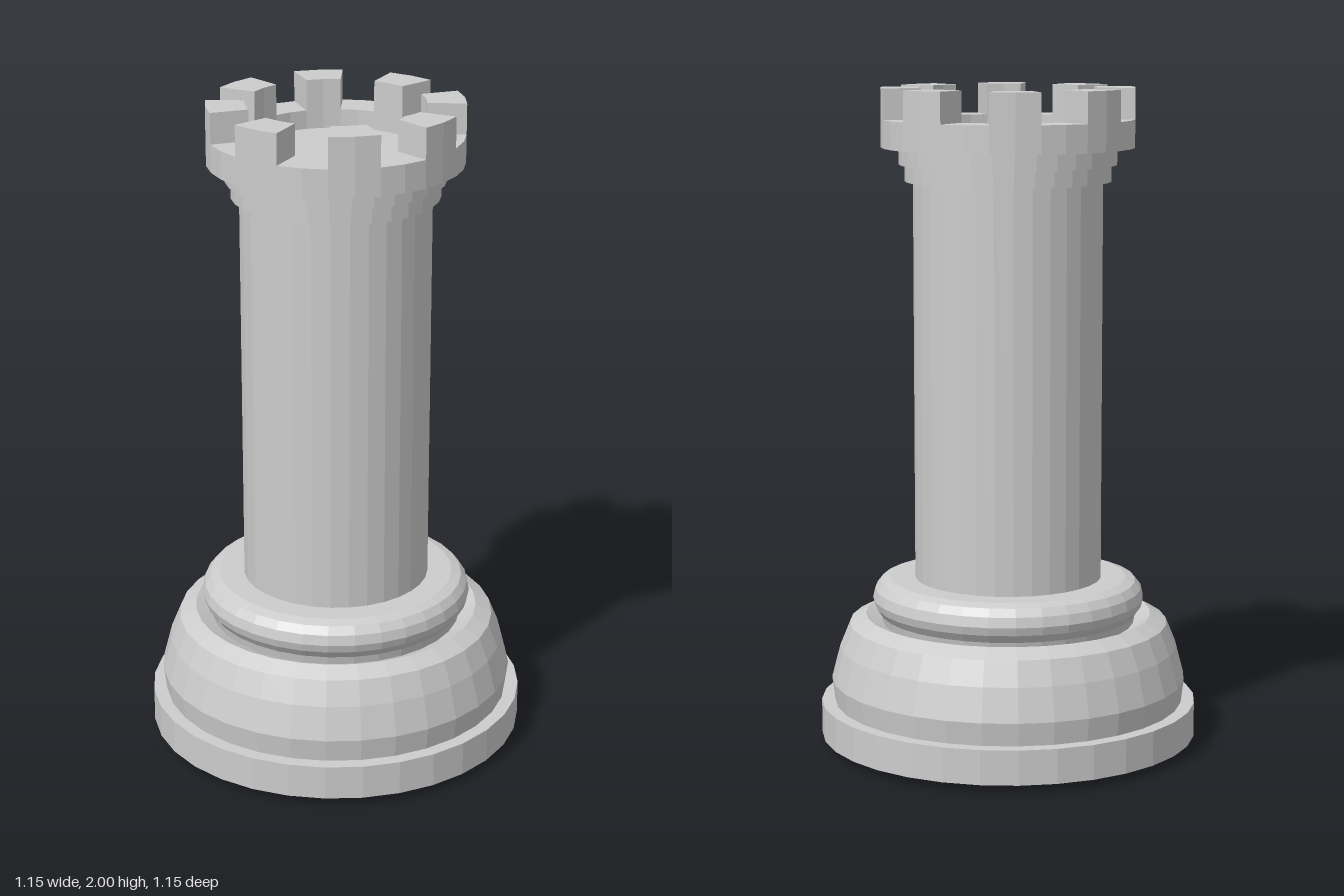
import * as THREE from 'three';

const SIDES = 32;
const stone = new THREE.MeshStandardMaterial({ color: 0xcccccc, flatShading: true });
stone.name = 'stone grey';

// Turned part from [radius, height] pairs, listed bottom to top
function turned(name, profile) {
  const points = profile.map(([r, y]) => new THREE.Vector2(r, y));
  const mesh = new THREE.Mesh(new THREE.LatheGeometry(points, SIDES), stone);
  mesh.name = name;
  return mesh;
}

// Ring-sector block between two angles, measured from +z towards +x
function sectorBlock(inner, outer, start, sweep, y, height) {
  const points = [];
  const add = (r, t) => points.push(new THREE.Vector2(r * Math.sin(t), -r * Math.cos(t)));
  for (let i = 0; i <= 2; i++) add(outer, start + (sweep * i) / 2);
  for (let i = 2; i >= 0; i--) add(inner, start + (sweep * i) / 2);
  const geometry = new THREE.ExtrudeGeometry(new THREE.Shape(points), { depth: height, bevelEnabled: false });
  geometry.rotateX(-Math.PI / 2);
  geometry.translate(0, y, 0);
  return geometry;
}

export function createModel() {
  const rook = new THREE.Group();
  rook.name = 'rook';

  // Foot disc with a bevelled underside
  rook.add(turned('foot', [
    [0, 0], [0.437, 0], [0.48, 0.025], [0.575, 0.025], [0.575, 0.13], [0.5, 0.13],
  ]));

  // Bulging base with a shallow groove around its top
  rook.add(turned('base', [
    [0.534, 0.13], [0.543, 0.2], [0.517, 0.3], [0.487, 0.373], [0.437, 0.4], [0.385, 0.375], [0.28, 0.375],
  ]));

  // Rounded ring under the shaft
  rook.add(turned('baseRing', [
    [0.385, 0.375], [0.39, 0.4], [0.408, 0.425], [0.415, 0.45],
    [0.408, 0.48], [0.39, 0.503], [0.36, 0.513], [0.28, 0.513],
  ]));

  rook.add(turned('shaft', [[0.285, 0.5], [0.285, 1.73]]));

  // Two-step collar
  rook.add(turned('collar', [
    [0.28, 1.722], [0.31, 1.722], [0.31, 1.772], [0.327, 1.772], [0.327, 1.825],
  ]));

  // Head with a sunken floor
  rook.add(turned('head', [
    [0.3, 1.823], [0.38, 1.823], [0.38, 1.907], [0.265, 1.907], [0.265, 1.85], [0, 1.85],
  ]));

  // Eight battlements with equal gaps
  const battlements = new THREE.Group();
  battlements.name = 'battlements';
  const block = sectorBlock(0.265, 0.38, 0, Math.PI / 8, 1.907, 0.093);
  for (let i = 0; i < 8; i++) {
    const merlon = new THREE.Mesh(block, stone);
    merlon.name = 'battlement';
    merlon.rotation.y = (i * Math.PI) / 4;
    battlements.add(merlon);
  }
  rook.add(battlements);

  return rook;
}
